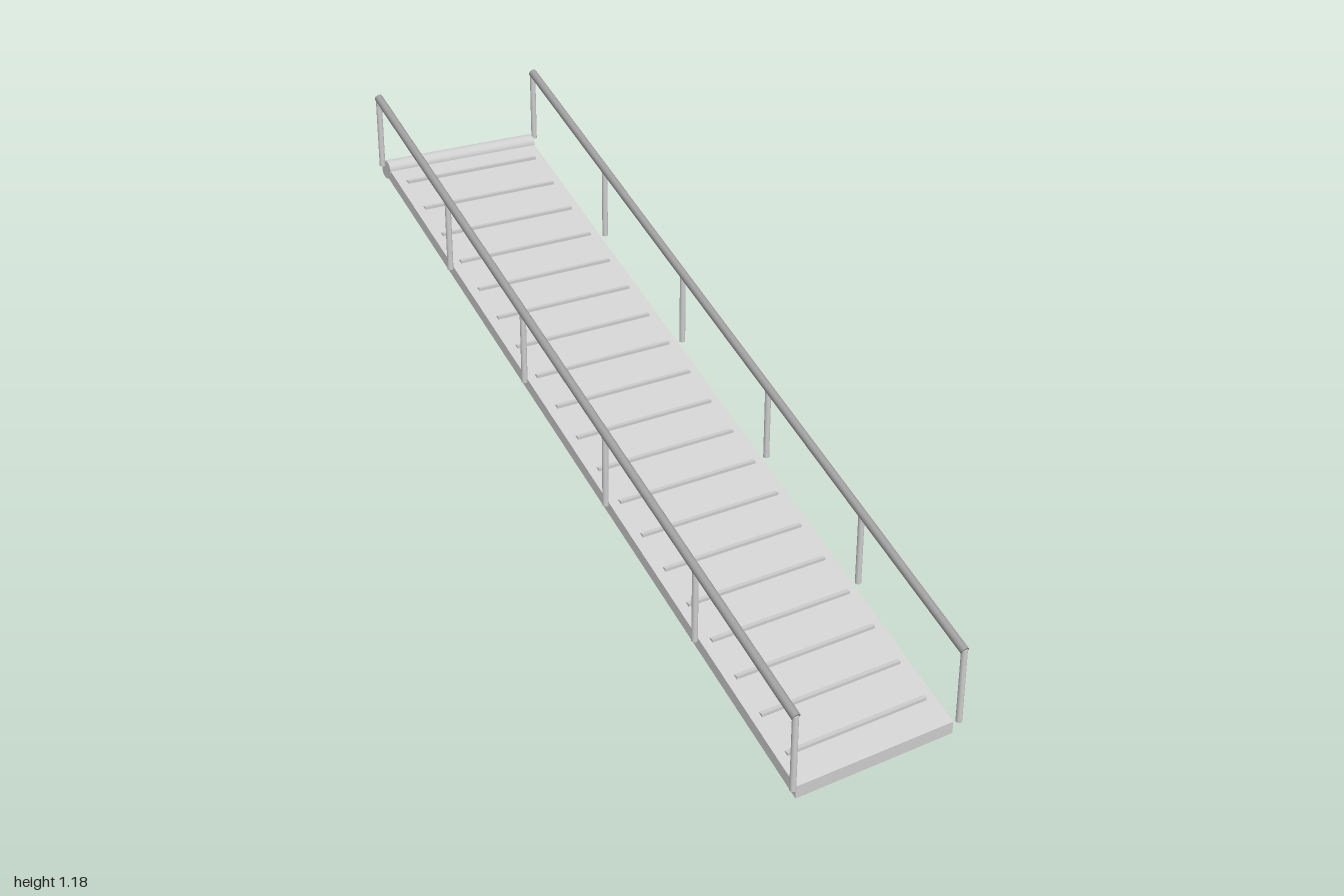
import * as THREE from 'three';

// Sloping walkway: low end at the front, high end at the back
const FRONT = 0.985;
const BACK = -0.97;
const RISE = 0.482;
const SLOPE = Math.atan(RISE);
const THICK = 0.032;
const deckBottom = (z) => (FRONT - z) * RISE;

export function createModel() {
  const group = new THREE.Group();
  const material = (name, color) => {
    const m = new THREE.MeshStandardMaterial({ color });
    m.name = name;
    return m;
  };
  const deckGrey = material('light grey', 0xcccccc);
  const railGrey = material('rail grey', 0x9c9c9c);

  const add = (name, geometry, mat, x, y, z) => {
    const mesh = new THREE.Mesh(geometry, mat);
    mesh.name = name;
    mesh.position.set(x, y, z);
    group.add(mesh);
    return mesh;
  };

  // Walkway slab with upright ends: a side profile extruded across the width
  const width = 0.47;
  const profile = new THREE.Shape([
    new THREE.Vector2(-FRONT, 0),
    new THREE.Vector2(-BACK, deckBottom(BACK)),
    new THREE.Vector2(-BACK, deckBottom(BACK) + THICK),
    new THREE.Vector2(-FRONT, THICK),
  ]);
  const slab = new THREE.ExtrudeGeometry(profile, { depth: width, bevelEnabled: false });
  slab.translate(0, 0, -width / 2).rotateY(Math.PI / 2);
  add('deck', slab, deckGrey, 0, 0, 0);

  // Hinge roller across the upper end
  const hinge = new THREE.CylinderGeometry(0.026, 0.026, 0.472, 24).rotateZ(Math.PI / 2);
  add('hingeRoller', hinge, deckGrey, 0, 0.962, -0.972);

  // Level foothold cleats set into the deck
  const cleat = new THREE.BoxGeometry(0.416, 0.008, 0.012);
  for (let i = 0; i < 19; i++) {
    const z = 0.911 - i * 0.1005;
    add('cleat', cleat, deckGrey, 0, deckBottom(z) + THICK + 0.001, z);
  }

  // Handrails with six upright posts on each side
  const railStart = 0.992;
  const railEnd = -0.97;
  const railLength = (railStart - railEnd) * Math.hypot(1, RISE);
  const railGeometry = new THREE.CylinderGeometry(0.0115, 0.0115, railLength, 12).rotateX(Math.PI / 2);
  const postLength = 0.2;
  const postGeometry = new THREE.CylinderGeometry(0.008, 0.008, postLength, 16);
  const railMid = (railStart + railEnd) / 2;
  for (const side of [-1, 1]) {
    const x = side * 0.248;
    const rail = add(side > 0 ? 'leftHandrail' : 'rightHandrail', railGeometry, railGrey,
      x, deckBottom(railMid) + 0.231, railMid);
    rail.rotation.x = SLOPE;
    for (let i = 0; i < 6; i++) {
      const z = 0.99 - i * 0.392;
      add('railPost', postGeometry, deckGrey, x, deckBottom(z) + 0.034 + postLength / 2, z);
    }
  }
  return group;
}
